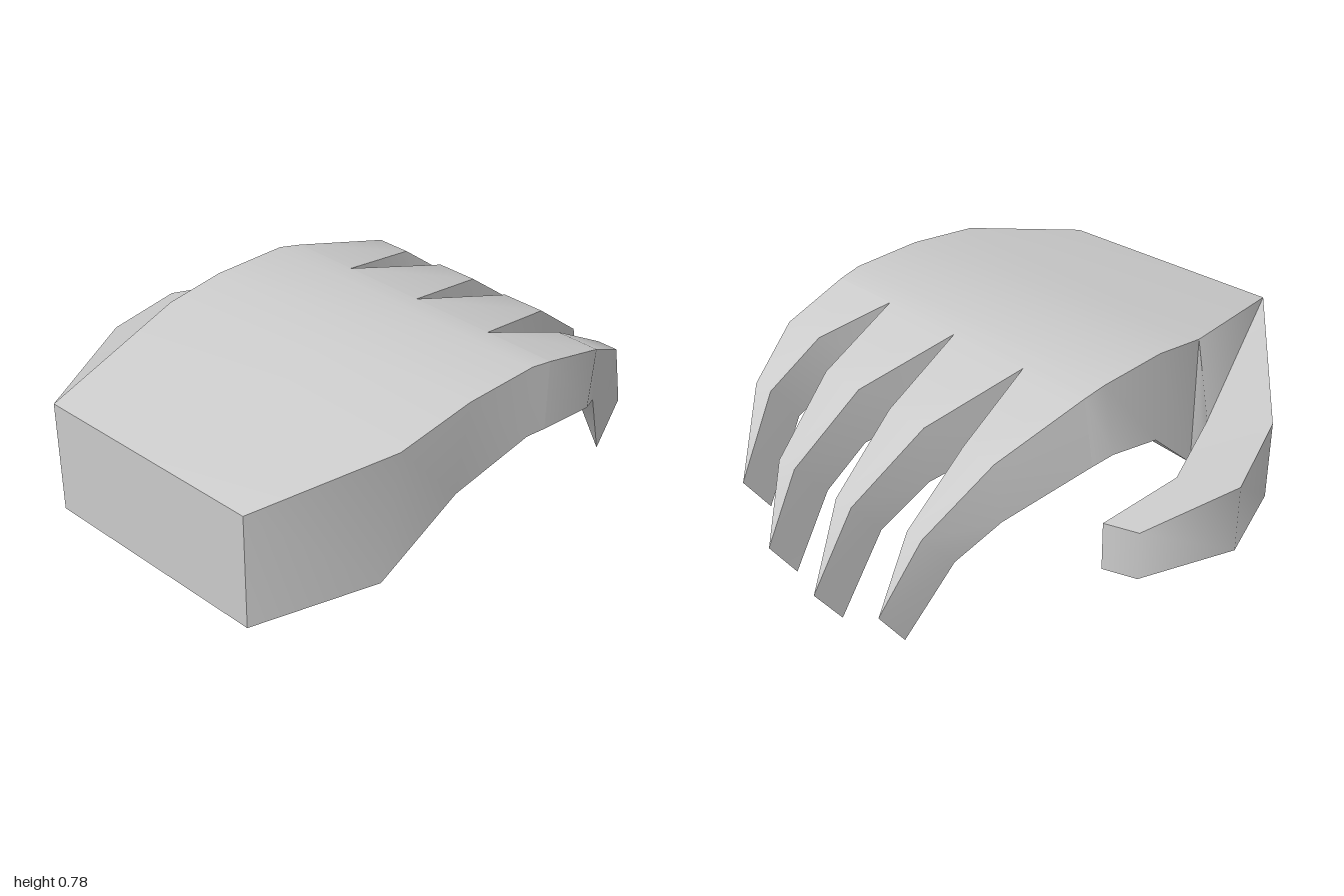
import * as THREE from 'three';
import { toCreasedNormals } from 'three/addons/utils/BufferGeometryUtils.js';

// Loft through four-cornered sections: top left, top right, bottom right, bottom left
function loft(name, sections, { capStart = false, capEnd = false, crease = 1.0 } = {}) {
  const pos = [];
  const quad = (a, b, c, d) => [a, b, c, a, c, d].forEach((p) => pos.push(...p));
  for (let i = 0; i < sections.length - 1; i++) {
    const s = sections[i], t = sections[i + 1];
    for (let k = 0; k < 4; k++) {
      const n = (k + 1) % 4;
      quad(s[k], s[n], t[n], t[k]);
    }
  }
  if (capStart) quad(...[...sections[0]].reverse());
  if (capEnd) quad(...sections[sections.length - 1]);
  const geometry = new THREE.BufferGeometry();
  geometry.setAttribute('position', new THREE.Float32BufferAttribute(pos, 3));
  const material = new THREE.MeshStandardMaterial({ color: 0xcccccc, side: THREE.DoubleSide });
  const mesh = new THREE.Mesh(toCreasedNormals(geometry, crease), material);
  mesh.name = name;
  return mesh;
}

// Section of a finger: left and right x, then height and depth of top and bottom
// flare widens the lower left edge
const cut = (l, r, yt, zt, yb, zb, flare = 0) => [
  [l, yt, zt], [r, yt, zt], [r, yb, zb], [l - flare, yb, zb],
];

export function createModel() {
  const group = new THREE.Group();

  // Palm, arched from the flat wrist to the roots of the fingers
  group.add(loft('palm', [
    [[-0.26, 0.61, 1], [0.64, 0.61, 0.95], [0.64, 0.195, 0.95], [-0.26, 0.195, 1]],
    [[-0.385, 0.73, 0.42], [0.83, 0.72, 0.5], [0.76, 0.195, 0.5], [-0.385, 0.195, 0.42]],
    [[-0.385, 0.77, 0.2], [0.83, 0.77, 0.2], [0.79, 0.41, 0.2], [-0.385, 0.41, 0.2]],
    [[-0.385, 0.78, -0.09], [0.83, 0.78, -0.09], [0.83, 0.52, -0.09], [-0.43, 0.52, -0.09]],
    cut(-0.375, 0.828, 0.765, -0.18, 0.51, -0.18, 0.04),
  ], { capStart: true }));

  // Thumb, curling forward beside the palm
  const thumbCut = (xo, zo, xi, zi, top, bottom) => [
    [xo, top, zo], [xi, top, zi], [xi, bottom, zi], [xo, bottom, zo],
  ];
  group.add(loft('thumb', [
    [[-0.26, 0.61, 1], [-0.385, 0.73, 0.42], [-0.385, 0.195, 0.42], [-0.26, 0.195, 1]],
    thumbCut(-0.71, 0.44, -0.53, 0.3, 0.51, 0.195),
    thumbCut(-0.83, 0.09, -0.64, -0.01, 0.487, 0.22),
    thumbCut(-0.72, -0.3, -0.6, -0.34, 0.463, 0.272),
  ], { capEnd: true }));

  // Four fingers, bending down to sharp ridged claws
  const fingers = {
    indexFinger: [
      cut(-0.375, -0.1, 0.765, -0.18, 0.51, -0.18, 0.04),
      cut(-0.33, -0.19, 0.68, -0.56, 0.455, -0.55, 0.02),
      cut(-0.26, -0.193, 0.49, -0.82, 0.34, -0.7, 0.02),
      cut(-0.195, -0.195, 0.22, -0.965, 0.055, -0.86),
    ],
    middleFinger: [
      cut(-0.1, 0.23, 0.765, -0.18, 0.51, -0.18),
      cut(-0.02, 0.145, 0.68, -0.57, 0.455, -0.56),
      cut(0.04, 0.115, 0.48, -0.85, 0.32, -0.73),
      cut(0.09, 0.09, 0.17, -1, 0, -0.89),
    ],
    ringFinger: [
      cut(0.23, 0.56, 0.765, -0.18, 0.51, -0.18),
      cut(0.31, 0.48, 0.68, -0.56, 0.455, -0.55),
      cut(0.34, 0.42, 0.48, -0.84, 0.32, -0.71),
      cut(0.365, 0.365, 0.2, -0.965, 0.03, -0.86),
    ],
    littleFinger: [
      cut(0.56, 0.828, 0.765, -0.18, 0.51, -0.18),
      cut(0.645, 0.81, 0.7, -0.45, 0.48, -0.43),
      cut(0.65, 0.73, 0.58, -0.68, 0.42, -0.57),
      cut(0.65, 0.65, 0.27, -0.845, 0.105, -0.74),
    ],
  };
  for (const [name, sections] of Object.entries(fingers)) group.add(loft(name, sections));

  return group;
}
